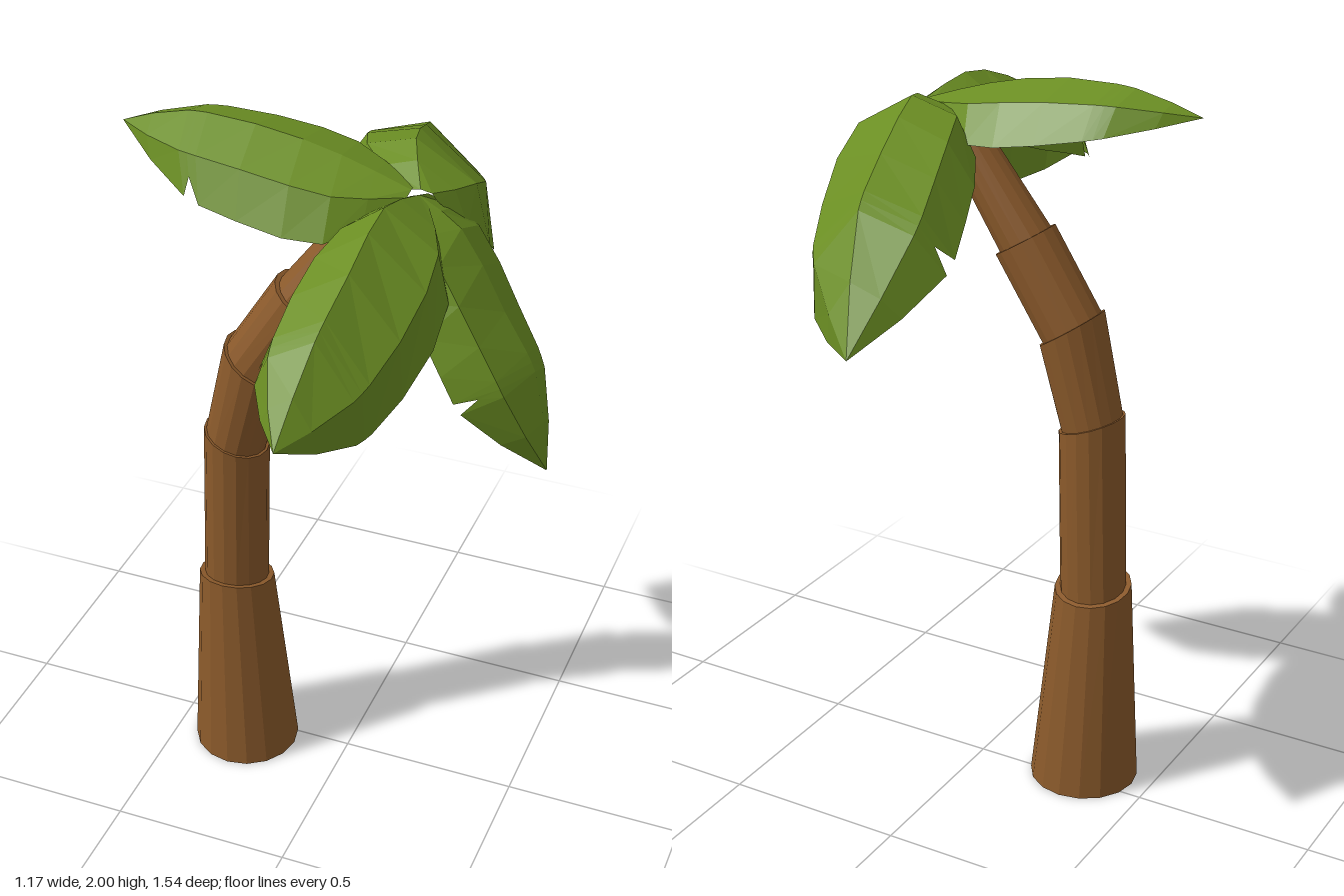
import * as THREE from 'three';

const V = (p) => new THREE.Vector3(...p);
const bark = new THREE.MeshStandardMaterial({ name: 'bark brown', color: 0x8b5a2b, flatShading: true });
const green = new THREE.MeshStandardMaterial({ name: 'leaf green', color: 0x6b8e23, flatShading: true, side: THREE.DoubleSide });

// Trunk joints: centre and the direction the joint faces
const joints = [
  { at: [-0.3, 0, 0.05], up: [0, 1, 0] },
  { at: [-0.315, 0.595, 0.052], up: [0, 1, -0.2] },
  { at: [-0.297, 1.07, 0.06], up: [0.34, 1, 0] },
  { at: [-0.233, 1.325, 0.06], up: [0.67, 1, 0] },
  { at: [-0.095, 1.545, 0.055], up: [0.62, 1, 0] },
  { at: [0.1, 1.83, 0.045], up: [0.65, 1, 0] },
];
// Bottom and top radius of each trunk section
const radii = [[0.15, 0.105], [0.09, 0.092], [0.085, 0.098], [0.088, 0.088], [0.075, 0.058]];

// Tapered cylinder whose two end rings are tilted to match their joints
function trunkSection(low, high, [r0, r1]) {
  const geo = new THREE.CylinderGeometry(r1, r0, 1, 16);
  const pos = geo.attributes.position;
  const v = new THREE.Vector3();
  const up = new THREE.Vector3(0, 1, 0);
  const turns = [low, high].map((j) => new THREE.Quaternion().setFromUnitVectors(up, V(j.up).normalize()));
  for (let i = 0; i < pos.count; i++) {
    v.fromBufferAttribute(pos, i);
    const top = v.y > 0 ? 1 : 0;
    v.setY(0).applyQuaternion(turns[top]).add(V((top ? high : low).at));
    pos.setXYZ(i, v.x, v.y, v.z);
  }
  geo.computeVertexNormals();
  return new THREE.Mesh(geo, bark);
}

// Arched leaf lofted between a ridge and two drooping edges, with one torn notch
const stations = [0, 0.13, 0.25, 0.38, 0.53, 0.67, 0.7, 0.73, 0.87, 1];
const NOTCH = 6;
function leaf(name, notchSide, ridge, left, right) {
  const [mid, l, r] = [ridge, left, right].map((pts) => new THREE.CatmullRomCurve3(pts.map(V)));
  const points = [];
  stations.forEach((t, i) => {
    const c = mid.getPoint(t);
    const tangent = mid.getTangent(t);
    const half = (curve, sign) => {
      const edge = curve.getPoint(t);
      const d = edge.clone().sub(c);
      const out = tangent.clone().cross(d).multiplyScalar(sign * 0.2);
      const bulge = c.clone().addScaledVector(d, 0.55).add(out);
      if (i === NOTCH && sign === notchSide) edge.lerp(bulge, 0.5);
      return [edge, bulge];
    };
    const [le, lb] = half(l, 1);
    const [re, rb] = half(r, -1);
    points.push(le, lb, c, rb, re);
  });
  const index = [];
  for (let i = 0; i < stations.length - 1; i++) {
    for (let j = 0; j < 4; j++) {
      const a = i * 5 + j;
      index.push(a, a + 1, a + 5, a + 1, a + 6, a + 5);
    }
  }
  const geo = new THREE.BufferGeometry().setFromPoints(points);
  geo.setIndex(index);
  geo.computeVertexNormals();
  const mesh = new THREE.Mesh(geo, green);
  mesh.name = name;
  return mesh;
}

export function createModel() {
  const palm = new THREE.Group();
  palm.name = 'palmTree';

  const trunk = new THREE.Group();
  trunk.name = 'trunk';
  radii.forEach((r, i) => {
    const section = trunkSection(joints[i], joints[i + 1], r);
    section.name = `trunkSection${i + 1}`;
    trunk.add(section);
  });

  // Crown: each leaf is given as ridge, left edge and right edge, root to tip
  const crown = new THREE.Group();
  crown.name = 'crown';
  crown.add(
    leaf('rightLeaf', 1,
      [[0.18, 1.89, 0.04], [0, 1.95, 0.04], [-0.2, 1.99, 0.04], [-0.43, 1.99, 0.03], [-0.59, 1.94, 0.04]],
      [[0.17, 1.86, 0.07], [0.02, 1.8, 0.22], [-0.18, 1.82, 0.23], [-0.37, 1.85, 0.19], [-0.59, 1.94, 0.04]],
      [[0.17, 1.87, 0], [-0.03, 1.84, -0.15], [-0.2, 1.86, -0.15], [-0.41, 1.9, -0.1], [-0.59, 1.94, 0.04]]),
    leaf('frontLeaf', -1,
      [[0.2, 1.88, 0.04], [0.17, 1.92, 0.2], [0.17, 1.87, 0.4], [0.15, 1.76, 0.61], [0.12, 1.57, 0.77]],
      [[0.23, 1.84, 0.05], [0.33, 1.68, 0.18], [0.31, 1.56, 0.4], [0.24, 1.5, 0.59], [0.12, 1.57, 0.77]],
      [[0.17, 1.86, 0.05], [0.04, 1.74, 0.22], [-0.01, 1.67, 0.42], [0, 1.61, 0.6], [0.12, 1.57, 0.77]]),
    leaf('backLeaf', 1,
      [[0.2, 1.89, 0.03], [0.13, 1.94, -0.13], [0.08, 1.87, -0.34], [0.02, 1.76, -0.56], [-0.08, 1.49, -0.77]],
      [[0.14, 1.86, 0.02], [-0.06, 1.81, -0.14], [-0.14, 1.72, -0.32], [-0.18, 1.62, -0.5], [-0.08, 1.49, -0.77]],
      [[0.24, 1.86, 0.02], [0.34, 1.7, -0.1], [0.26, 1.55, -0.35], [0.12, 1.49, -0.6], [-0.08, 1.49, -0.77]]),
    leaf('leftLeaf', -1,
      [[0.2, 1.88, 0.04], [0.31, 1.81, 0.04], [0.42, 1.63, 0.05], [0.53, 1.45, 0.07], [0.58, 1.21, 0.11]],
      [[0.22, 1.86, 0], [0.28, 1.68, -0.13], [0.37, 1.52, -0.12], [0.48, 1.36, -0.06], [0.58, 1.21, 0.11]],
      [[0.22, 1.85, 0.07], [0.24, 1.68, 0.2], [0.33, 1.53, 0.25], [0.4, 1.41, 0.25], [0.58, 1.21, 0.11]]),
  );

  palm.add(trunk, crown);
  return palm;
}
